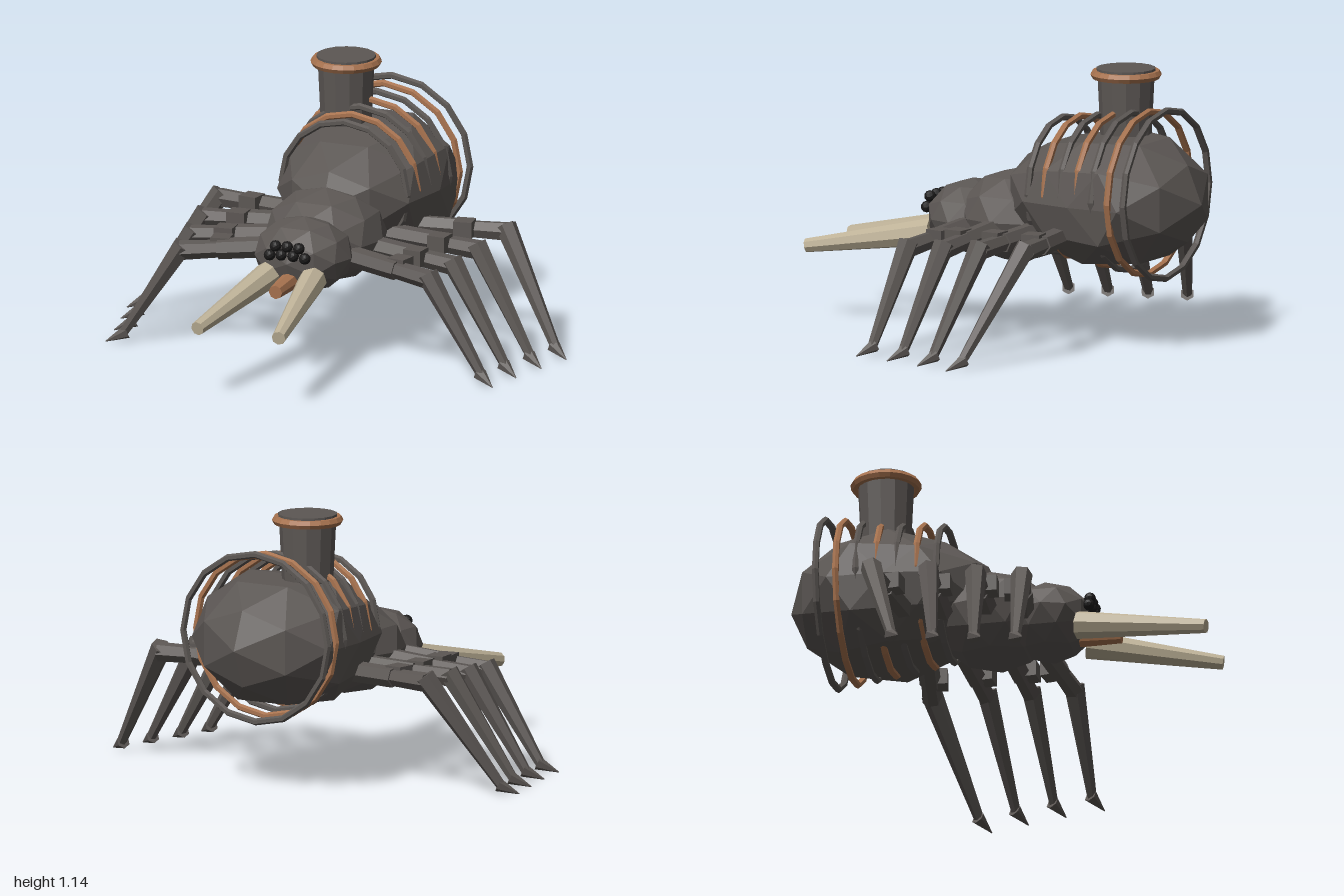
import * as THREE from 'three';

const flat = (name, color) => {
  const m = new THREE.MeshStandardMaterial({ color, flatShading: true });
  m.name = name;
  return m;
};

export function createModel() {
  const iron = flat('dark iron', 0x5c5754);
  const copper = flat('copper', 0xa8734f);
  const bone = flat('bone', 0xbdb197);
  const black = flat('eye black', 0x1c1b1b);
  const model = new THREE.Group();
  model.name = 'mechanicalSpider';
  const V = (x, y, z) => new THREE.Vector3(x, y, z);

  const add = (name, geo, mat, pos = V(0, 0, 0), parent = model) => {
    const m = new THREE.Mesh(geo, mat);
    m.name = name;
    m.position.copy(pos);
    parent.add(m);
    return m;
  };

  // Tapered rod between two points
  const rod = (name, a, b, ra, rb, sides, mat, parent) => {
    const d = b.clone().sub(a);
    const m = add(name, new THREE.CylinderGeometry(rb, ra, d.length(), sides), mat,
      a.clone().add(b).multiplyScalar(0.5), parent);
    m.quaternion.setFromUnitVectors(V(0, 1, 0), d.normalize());
    return m;
  };

  const blob = (rx, ry, rz) => new THREE.IcosahedronGeometry(1, 1).scale(rx, ry, rz);

  // Abdomen: faceted ellipsoid with flattened sides and a slimmer front
  const belly = blob(0.4, 0.31, 0.455);
  const p = belly.attributes.position;
  for (let i = 0; i < p.count; i++) {
    const s = p.getZ(i) > 0.1 ? 0.88 : 1;
    p.setX(i, s * THREE.MathUtils.clamp(p.getX(i), -0.34, 0.34));
    p.setY(i, s * THREE.MathUtils.clamp(p.getY(i), -0.258, 0.258));
  }
  belly.computeVertexNormals();
  add('abdomen', belly, iron, V(0, 0.62, -0.45));
  add('thorax', blob(0.26, 0.2, 0.26), iron, V(0, 0.505, -0.03));
  add('head', blob(0.215, 0.16, 0.19), iron, V(0, 0.48, 0.2));

  // Eyes in two rows
  const eyes = [[-0.053, 0.553], [0, 0.555], [0.053, 0.553],
    [-0.08, 0.512], [-0.027, 0.517], [0.027, 0.517], [0.08, 0.512]];
  for (const [x, y] of eyes) {
    add('eye', new THREE.IcosahedronGeometry(0.025, 1), black, V(x, y, 0.38));
  }

  // Tusks and nozzle
  for (const s of [1, -1]) {
    rod('tusk', V(s * 0.1, 0.412, 0.34), V(s * 0.185, 0.317, 0.902), 0.06, 0.03, 8, bone);
  }
  rod('nozzle', V(0, 0.4, 0.33), V(0, 0.39, 0.505), 0.042, 0.03, 8, copper);

  // Chimney
  const cx = -0.1, cz = -0.48;
  add('chimney', new THREE.CylinderGeometry(0.12, 0.1, 0.42, 12), iron, V(cx, 0.92, cz));
  add('chimneyCap', new THREE.CylinderGeometry(0.125, 0.125, 0.04, 16), iron, V(cx, 1.132, cz));
  add('chimneyCollar', new THREE.TorusGeometry(0.13, 0.02, 6, 20).rotateX(Math.PI / 2),
    copper, V(cx, 1.125, cz));

  // Hoops growing towards the back
  for (let i = 0; i < 7; i++) {
    add('hoop', new THREE.TorusGeometry(0.286 + i * 0.0117, 0.015, 6, 16),
      i % 2 ? copper : iron, V(0, 0.65, -0.23 - i * 0.0835));
  }

  // Legs: hip, knee and toe for each pair, with the side its joint block sits on
  const legs = [
    [V(0.16, 0.47, 0.12), V(0.57, 0.425, 0.19), V(0.88, 0.01, 0.255), -1],
    [V(0.18, 0.48, -0.03), V(0.6, 0.44, 0.0), V(0.915, 0.01, 0.085), 1],
    [V(0.2, 0.48, -0.22), V(0.63, 0.46, -0.195), V(0.957, 0.01, -0.085), 1],
    [V(0.22, 0.48, -0.37), V(0.66, 0.48, -0.435), V(1, 0.01, -0.25), 1],
  ];
  for (const s of [1, -1]) {
    for (const [hip0, knee0, toe0, side] of legs) {
      const leg = new THREE.Group();
      leg.name = s > 0 ? 'leftLeg' : 'rightLeg';
      model.add(leg);
      const [hip, knee, toe] = [hip0, knee0, toe0].map(v => V(v.x * s, v.y, v.z));
      const mid = hip.clone().lerp(knee, 0.6);
      const ankle = V(toe.x - s * 0.065, 0.045, toe.z - 0.04);
      rod('hip', hip, mid, 0.045, 0.045, 6, iron, leg);
      rod('thigh', hip.clone().lerp(knee, 0.45), knee, 0.036, 0.042, 6, iron, leg);
      rod('shin', knee.clone().add(V(-s * 0.015, 0.025, 0)), ankle, 0.046, 0.021, 6, iron, leg);
      rod('foot', ankle.clone().add(V(-s * 0.012, 0.004, -0.005)), toe, 0.03, 0.002, 6, iron, leg);
      const block = add('jointBlock', new THREE.BoxGeometry(0.08, 0.07, 0.08), iron,
        mid.clone().add(V(0, 0.012, side * 0.035)), leg);
      block.rotation.y = Math.atan2(-(knee.z - hip.z), knee.x - hip.x);
    }
  }
  return model;
}
